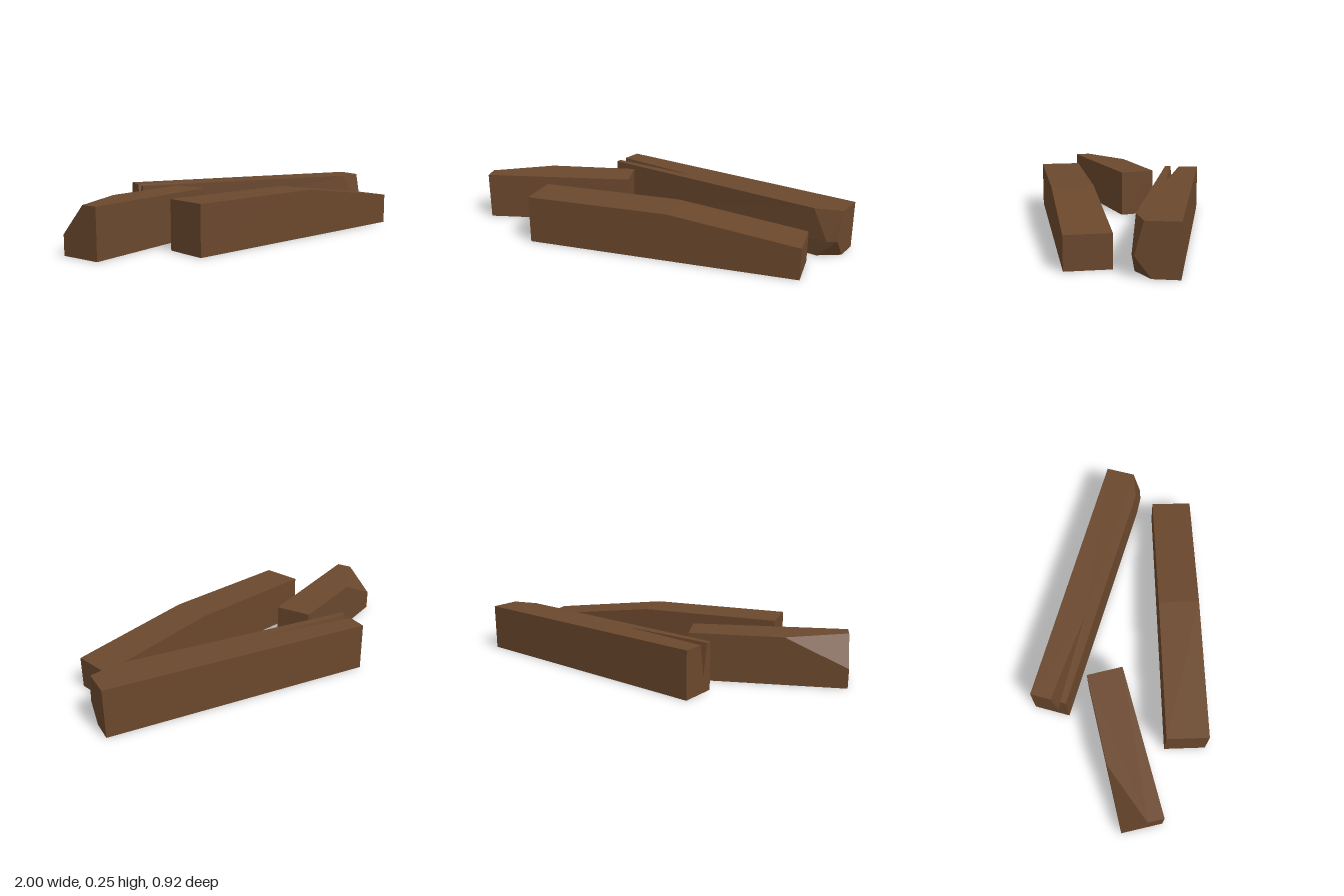
import * as THREE from 'three';

const H = 0.245; // timber height

// Builds a flat-faced solid from named corners; each face is fanned from its first corner.
function solid(name, material, corners, faces) {
  const positions = [];
  for (const face of faces) {
    const pts = face.split(' ').map((key) => corners[key]);
    for (let i = 1; i < pts.length - 1; i++) positions.push(...pts[0], ...pts[i], ...pts[i + 1]);
  }
  const geometry = new THREE.BufferGeometry();
  geometry.setAttribute('position', new THREE.Float32BufferAttribute(positions, 3));
  geometry.computeVertexNormals();
  const mesh = new THREE.Mesh(geometry, material);
  mesh.name = name;
  return mesh;
}

// Lower (0) and upper (1) corners from a plan: a back left, b front left, c front right, d back right.
function block(plan) {
  const corners = {};
  for (const [key, [x, z]] of Object.entries(plan)) {
    corners[key + '0'] = [x, 0, z];
    corners[key + '1'] = [x, H, z];
  }
  return corners;
}

export function createModel() {
  const group = new THREE.Group();
  group.name = 'timbers';
  const wood = new THREE.MeshStandardMaterial({ color: 0x6b482d });
  wood.name = 'brown wood';

  // Front timber: the top slopes down towards the right end
  const front = block({ a: [-0.55, 0.245], b: [-0.525, 0.46], c: [0.857, 0.295], d: [0.834, 0.082] });
  front.c1[1] = front.d1[1] = 0.16;
  front.e = [0.21, H, 0.372]; // start of slope, front edge
  front.f = [0.185, H, 0.158]; // start of slope, back edge
  group.add(solid('frontTimber', wood, front, [
    'a0 d0 c0 b0', 'a1 b1 e f', 'f e c1 d1', 'e b1 b0 c0 c1',
    'c0 d0 d1 c1', 'f d1 d0 a0 a1', 'a0 b0 b1 a1',
  ]));

  // Short timber: one upper corner is cut off
  const short = block({ a: [-1, 0.055], b: [-0.935, 0.26], c: [-0.19, -0.005], d: [-0.25, -0.185] });
  short.p = [-0.96, H, 0.18];
  short.q = [-0.7, H, -0.041];
  short.r = [-1, 0.1, 0.055];
  group.add(solid('shortTimber', wood, short, [
    'a0 d0 c0 b0', 'p b1 c1 d1 q', 'b0 c0 c1 b1', 'c0 d0 d1 c1',
    'd0 a0 r q d1', 'a0 b0 b1 p r', 'r p q',
  ]));

  // Back timber: split at the left end, chipped at the front right corner
  const back = block({ a: [-0.375, -0.462], b: [-0.41, -0.275], d: [0.995, -0.19] });
  Object.assign(back, {
    s1: [-0.395, H, -0.355], s2: [-0.404, H, -0.305], // split mouth
    s0: [-0.4, 0.076, -0.328], tip: [0.09, H, -0.225], // split floor and tip
    p1: [0.83, H, -0.015], p2: [0.968, H, -0.038], // chip, top
    m1: [0.91, 0.088, 0.008], m2: [0.961, 0.096, 0.001], // chip, ridge
    n1: [0.86, 0, -0.008], n2: [0.973, 0, -0.07], // chip, bottom
  });
  group.add(solid('backTimber', wood, back, [
    'a0 d0 n2 n1 b0', 'tip s2 b1 p1 p2 d1 a1 s1', 's1 s0 tip', 's2 tip s0',
    's0 s1 a1 a0 b0 b1 s2', 'b0 n1 m1 p1 b1', 'n2 d0 d1 p2 m2',
    'd0 a0 a1 d1', 'm1 m2 p2 p1', 'n1 n2 m2 m1',
  ]));

  return group;
}
